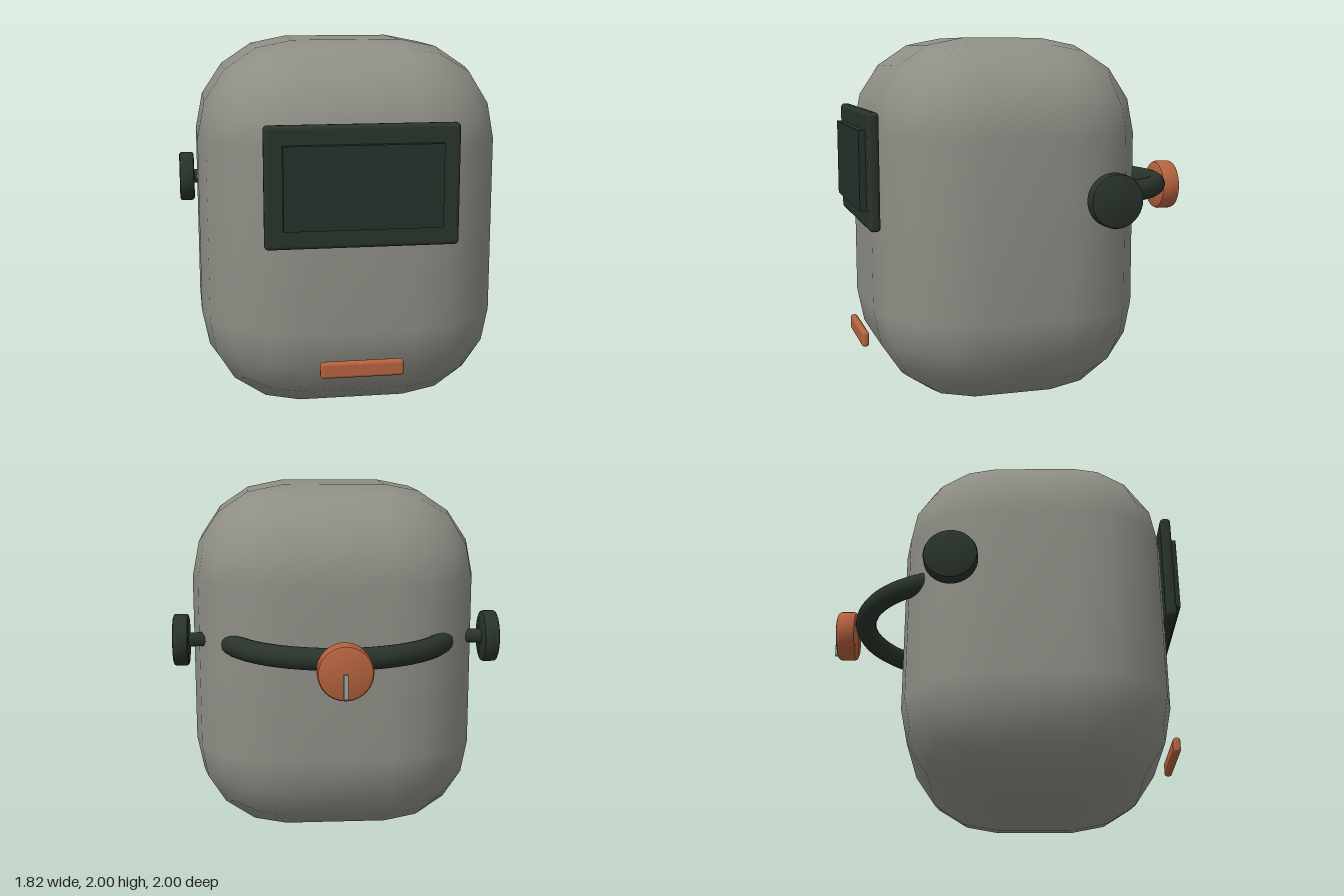
import * as THREE from 'three';
import { mergeVertices, toCreasedNormals } from 'three/addons/utils/BufferGeometryUtils.js';
import { RoundedBoxGeometry } from 'three/addons/geometries/RoundedBoxGeometry.js';

const material = (name, color) => {
  const m = new THREE.MeshStandardMaterial({ color });
  m.name = name;
  return m;
};

// Box with large rounded edges, four even steps per quarter turn, smooth shaded
function shellGeometry(w, h, d, r) {
  const geo = new THREE.BoxGeometry(1, 1, 1, 5, 5, 5);
  const pos = geo.attributes.position;
  const core = [w / 2 - r, h / 2 - r, d / 2 - r];
  const p = new THREE.Vector3();
  const n = new THREE.Vector3();
  // grid steps 0.1, 0.3, 0.5 become angles 0, 22.5 and 45 degrees
  const spread = (v) => Math.sign(v) * Math.tan((Math.abs(v) - 0.1) / 0.4 * Math.PI / 4);
  for (let i = 0; i < pos.count; i++) {
    p.fromBufferAttribute(pos, i);
    n.set(spread(p.x), spread(p.y), spread(p.z)).normalize();
    pos.setXYZ(i,
      Math.sign(p.x) * core[0] + n.x * r,
      Math.sign(p.y) * core[1] + n.y * r,
      Math.sign(p.z) * core[2] + n.z * r);
  }
  geo.deleteAttribute('uv');
  geo.deleteAttribute('normal');
  const smooth = mergeVertices(geo, 1e-4);
  smooth.computeVertexNormals();
  return smooth;
}

// Disc along y with a small chamfer on both rims
function discGeometry(r, h, bevel = 0.015) {
  const y = h / 2;
  const profile = [[0, -y], [r - bevel, -y], [r - bevel * 0.3, -y + bevel * 0.3], [r, -y + bevel],
    [r, y - bevel], [r - bevel * 0.3, y - bevel * 0.3], [r - bevel, y], [0, y]];
  return toCreasedNormals(
    new THREE.LatheGeometry(profile.map(([a, b]) => new THREE.Vector2(a, b)), 40), 0.5);
}

export function createModel() {
  const group = new THREE.Group();
  const grey = material('shell grey', 0x8e8e86);
  const dark = material('dark green black', 0x29332b);
  const glass = material('dark glass', 0x26302a);
  const orange = material('copper orange', 0xb5623e);
  const steel = material('pointer steel', 0x9aa3a3);

  const add = (name, geometry, mat, x, y, z) => {
    const mesh = new THREE.Mesh(geometry, mat);
    mesh.name = name;
    mesh.position.set(x, y, z);
    group.add(mesh);
    return mesh;
  };

  // Mask body
  add('shell', shellGeometry(1.62, 2, 1.48, 0.52), grey, 0, 1, 0.18);

  // Viewing window and chin bar
  add('windowFrame', new RoundedBoxGeometry(1, 0.63, 0.06, 3, 0.022), dark, 0, 1.3, 0.935);
  add('windowGlass', new THREE.BoxGeometry(0.815, 0.43, 0.06), glass, 0, 1.302, 0.97);
  add('chinBar', new RoundedBoxGeometry(0.44, 0.088, 0.042, 3, 0.018), orange, 0, 0.337, 0.954);

  // Side knobs on short slanted pivots
  for (const side of [-1, 1]) {
    const label = side > 0 ? 'left' : 'right';
    const knob = add(label + 'Knob', discGeometry(0.145, 0.086), dark, side * 0.868, 1.155, -0.265);
    knob.rotation.z = Math.PI / 2;
    const pivot = add(label + 'Pivot', new THREE.CylinderGeometry(0.042, 0.042, 0.2, 8), dark,
      side * 0.755, 1.155, -0.255);
    pivot.quaternion.setFromUnitVectors(
      new THREE.Vector3(0, 1, 0), new THREE.Vector3(side, 0, -0.17).normalize());
  }

  // Headband arching behind the shell
  const band = add('headband', new THREE.TorusGeometry(0.62, 0.06, 16, 48, Math.PI), dark, 0, 1.155, -0.2);
  band.rotation.x = -Math.PI / 2;

  // Rear adjusting dial and its pointer
  const dial = add('rearDial', discGeometry(0.145, 0.113, 0.02), orange, 0, 1.115, -0.928);
  dial.rotation.x = Math.PI / 2;
  add('dialPointer', new THREE.BoxGeometry(0.024, 0.125, 0.03), steel, 0, 1.05, -0.985);

  return group;
}
